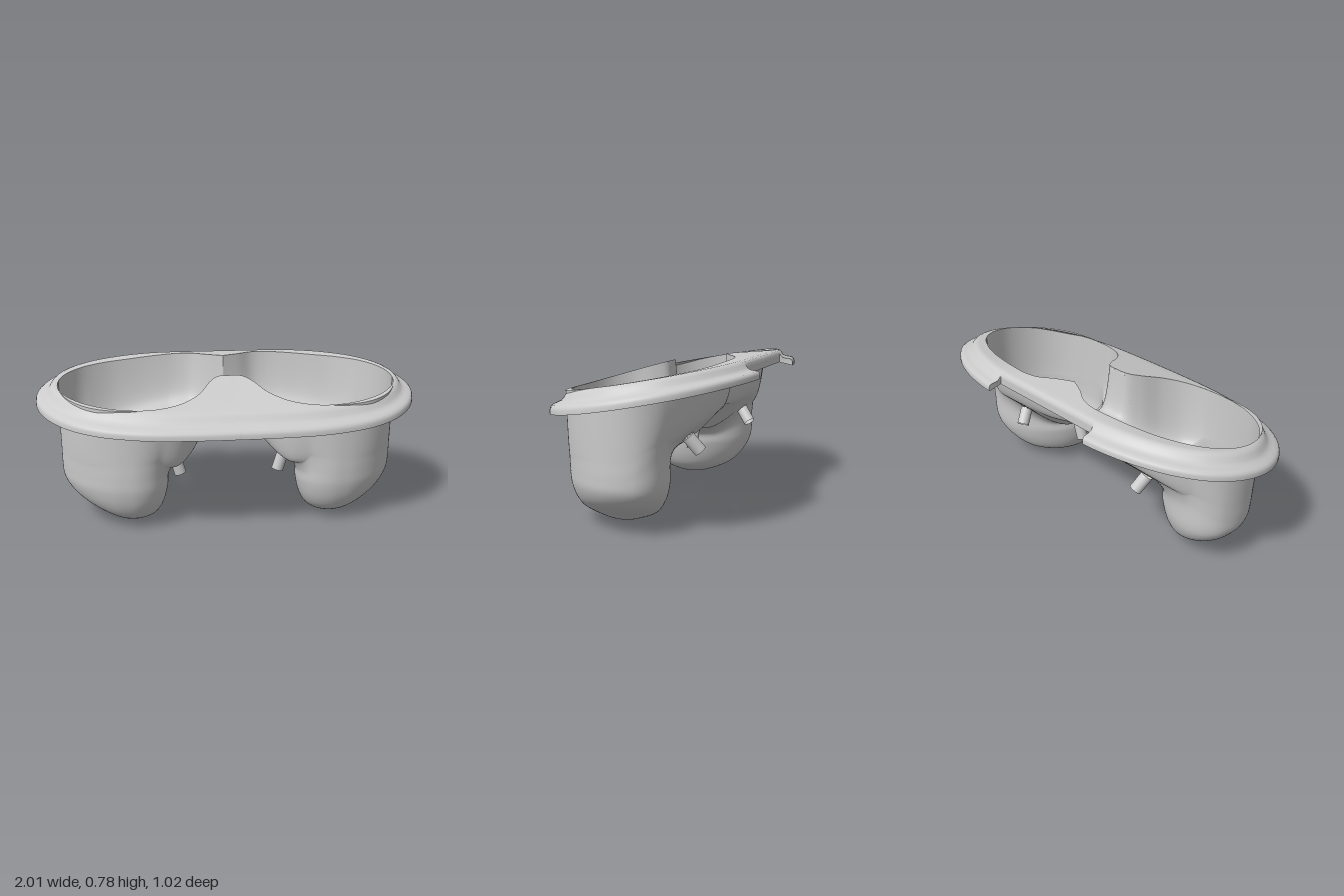
import * as THREE from 'three';
import { mergeVertices, toCreasedNormals } from 'three/addons/utils/BufferGeometryUtils.js';

const V = (x, y, z) => new THREE.Vector3(x, y, z);
const { lerp, smoothstep, clamp } = THREE.MathUtils;
const material = new THREE.MeshStandardMaterial({ color: 0xcccccc, side: THREE.DoubleSide });

// Matching half outlines (x, z) from front centre round to back centre
const OPENING = [[0, .07], [.06, .075], [.11, .13], [.17, .24], [.26, .325], [.4, .372], [.55, .375],
  [.7, .33], [.82, .22], [.885, .05], [.87, -.08], [.79, -.19], [.65, -.27], [.5, -.312], [.37, -.335],
  [.25, -.345], [.17, -.33], [.09, -.28], [0, -.235]];
const OUTER = [[0, .51], [.1, .51], [.2, .508], [.3, .504], [.4, .496], [.52, .475], [.67, .43],
  [.82, .34], [.94, .2], [1, .03], [.985, -.13], [.91, -.27], [.78, -.38], [.62, -.453], [.48, -.49],
  [.345, -.508], [.2, -.51], [.1, -.51], [0, -.51]];
const curve = pts => new THREE.CatmullRomCurve3(pts.map(([x, z]) => V(x, 0, z)));
const openingCurve = curve(OPENING), outerCurve = curve(OUTER);
const NOTCH = 15 / 18; // station where the back flange is cut away

// Tilted plane of the rim
const planeY = z => .70 - .172 * z;

// Stations, with a close pair at the notch for a sharp step
const stations = [];
for (let i = 0; i <= 140; i++) stations.push(i / 140);
stations.push(NOTCH - .0004, NOTCH + .0004);
stations.sort((a, b) => a - b);

// Opening edge: raised at the front tongue and the back centre
function openingPoint(u) {
  const p = openingCurve.getPoint(u);
  if (u === 0 || u === 1) p.x = 0;
  p.y = planeY(p.z);
  if (u < 6 / 18) p.y += .042 * clamp((.37 - p.z) / .3, 0, 1) ** .8;
  if (p.z < -.2 && u > .6) p.y += (.775 - p.y) * (1 - smoothstep(p.x, .1, .6));
  return p;
}
const edge = stations.map(openingPoint);

// Symmetric surface from half-grid columns; keep() can drop cells
function mirroredGrid(cols, closed, keep = () => true) {
  const out = [];
  const tri = (a, b, c) => {
    out.push(a.x, a.y, a.z, b.x, b.y, b.z, c.x, c.y, c.z);
    out.push(-a.x, a.y, a.z, -c.x, c.y, c.z, -b.x, b.y, b.z);
  };
  const n = cols.length;
  for (let i = 0; i < (closed ? n : n - 1); i++) {
    const p = cols[i], q = cols[(i + 1) % n];
    for (let j = 0; j < p.length - 1; j++) {
      if (!keep([p[j], q[j], p[j + 1], q[j + 1]])) continue;
      tri(p[j], p[j + 1], q[j]);
      tri(q[j], p[j + 1], q[j + 1]);
    }
  }
  const geo = new THREE.BufferGeometry();
  geo.setAttribute('position', new THREE.Float32BufferAttribute(out, 3));
  const merged = mergeVertices(geo, 1e-5);
  merged.computeVertexNormals();
  return merged;
}

function add(group, geo, name) {
  const mesh = new THREE.Mesh(geo, material);
  mesh.name = name;
  group.add(mesh);
  return mesh;
}

// Flange profile [inset, height from plane], then a deck to the opening edge
function buildRim() {
  const profile = [[0, -.098], [0, -.079], [.004, -.067], [.014, -.059], [.034, -.053], [.052, -.047],
    [.064, -.036], [.074, -.02], [.086, -.007], [.103, 0]];
  const cols = stations.map((u, i) => {
    const o = outerCurve.getPoint(u), t = outerCurve.getTangent(u);
    if (u === 0 || u === 1) { o.x = 0; t.set(u ? -1 : 1, 0, 0); }
    const col = profile.map(([d, h]) => {
      const p = V(o.x + t.z * d, 0, o.z - t.x * d);
      if (u > NOTCH) p.z = Math.max(p.z, -.435);
      p.y = planeY(p.z) + (u > NOTCH ? Math.max(h, -.07) : h);
      return p;
    });
    const crest = col[col.length - 1];
    for (let k = 1; k <= 6; k++) col.push(crest.clone().lerp(edge[i], k / 6));
    return col;
  });
  return toCreasedNormals(mirroredGrid(cols, false), .9);
}

// Basin floor between the wells: a saddle that rises towards the back
const floorY = (x, z) => .31 + .172 * (1 - smoothstep(x, .04, .31))
  + 1.5 * Math.max(0, -z - .02) ** 1.5 * smoothstep(x, 0, .3);

// Floor point with a filleted wall of width w climbing to the nearest edge
function shelfPoint(x, z, w) {
  let d = Infinity, top = 0;
  for (let i = 1; i < edge.length; i++) {
    const a = edge[i - 1], b = edge[i], ex = b.x - a.x, ez = b.z - a.z;
    const t = clamp(((x - a.x) * ex + (z - a.z) * ez) / (ex * ex + ez * ez), 0, 1);
    const l = Math.hypot(a.x + ex * t - x, a.z + ez * t - z);
    if (l < d) { d = l; top = lerp(a.y, b.y, t); }
  }
  const f = floorY(x, z);
  return V(x, f + (top - f) * Math.max(0, 1 - d / w) ** 3.5, z);
}

// Half basin: each column runs from the edge or centre line over the shelf into the well
function basinColumns() {
  const starts = [...edge];
  for (let i = 1; i < 40; i++) {
    starts.push(V(0, 0, lerp(-.235, .07, (1 - Math.cos(Math.PI * i / 40)) / 2)));
  }
  const cx = .61, cz = .1;
  return starts.map(a => {
    const dx = a.x - cx, dz = a.z - cz, r = Math.hypot(dx, dz), c = dx / r, s = dz / r;
    // Well mouth: an ellipse turned 45 degrees, kept inside the opening
    const ell = 1 / Math.hypot((c - s) / Math.SQRT2 / .32, (c + s) / Math.SQRT2 / .225);
    const m = Math.min(ell, r * .992), w = Math.min(.075, 1.6 * (r - m));
    const at = t => shelfPoint(lerp(a.x, cx + c * m, t), lerp(a.z, cz + s * m, t), w);
    const col = [];
    for (let j = 0; j <= 40; j++) col.push(at(.78 * (j / 40) ** 2));
    // Rounded lip, then well wall and floor: [scale, height, outward slope]
    const lip = at(1);
    lip.y -= .05;
    const pts = [at(.6), col[40], lip];
    for (const [k, y, tilt] of [[.98, .2, .15], [.88, .112, .5], [.73, .055, .8], [.42, .013, 1.1],
      [.18, -.003, 1], [0, -.007, 1]]) {
      const x = lerp(.55, cx, k) + c * m * k, q = x - .57;
      pts.push(V(x, y + .17 * tilt * (Math.sqrt(q * q + .003) + q), lerp(.12, cz, k) + s * m * k));
    }
    const path = new THREE.CatmullRomCurve3(pts), t0 = 1 / (pts.length - 1);
    for (let j = 1; j <= 42; j++) col.push(path.getPoint(lerp(t0, 1, j / 42)));
    return col;
  });
}

export function createModel() {
  const group = new THREE.Group();
  group.name = 'doubleBasin';
  add(group, buildRim(), 'rim');

  const cols = basinColumns(), all = cols.flat(), inside = new Set();
  const R = .032;

  // Drain spouts: hole position (x, z) and spout direction
  const drains = [
    { x: .295, z: .05, dir: V(-.047, -.155, 0), length: .115 },
    { x: .46, z: -.185, dir: V(-.02, -.055, -.041), length: .095 },
  ];
  for (const d of drains) {
    d.dir.normalize();
    const dist = p => Math.hypot(p.x - d.x, p.z - d.z);
    d.start = all.reduce((b, p) => (dist(p) < dist(b) ? p : b)).clone();
    // Push vertices out to the hole's edge
    for (const p of all) {
      const rel = p.clone().sub(d.start);
      if (rel.length() > .07) continue;
      const radial = rel.addScaledVector(d.dir, -rel.dot(d.dir));
      const len = radial.length();
      if (len >= R) continue;
      inside.add(p);
      if (len > 1e-6) p.addScaledVector(radial, R / len - 1);
    }
  }
  add(group, mirroredGrid(cols, true, quad => !quad.every(p => inside.has(p))), 'basin');

  for (const side of [1, -1]) {
    for (const d of drains) {
      const dir = V(d.dir.x * side, d.dir.y, d.dir.z);
      const tube = add(group, new THREE.CylinderGeometry(R, R, d.length, 24, 1, true),
        side > 0 ? 'leftDrainSpout' : 'rightDrainSpout');
      tube.position.set(d.start.x * side, d.start.y, d.start.z).addScaledVector(dir, d.length / 2);
      tube.quaternion.setFromUnitVectors(V(0, -1, 0), dir);
    }
  }
  return group;
}
